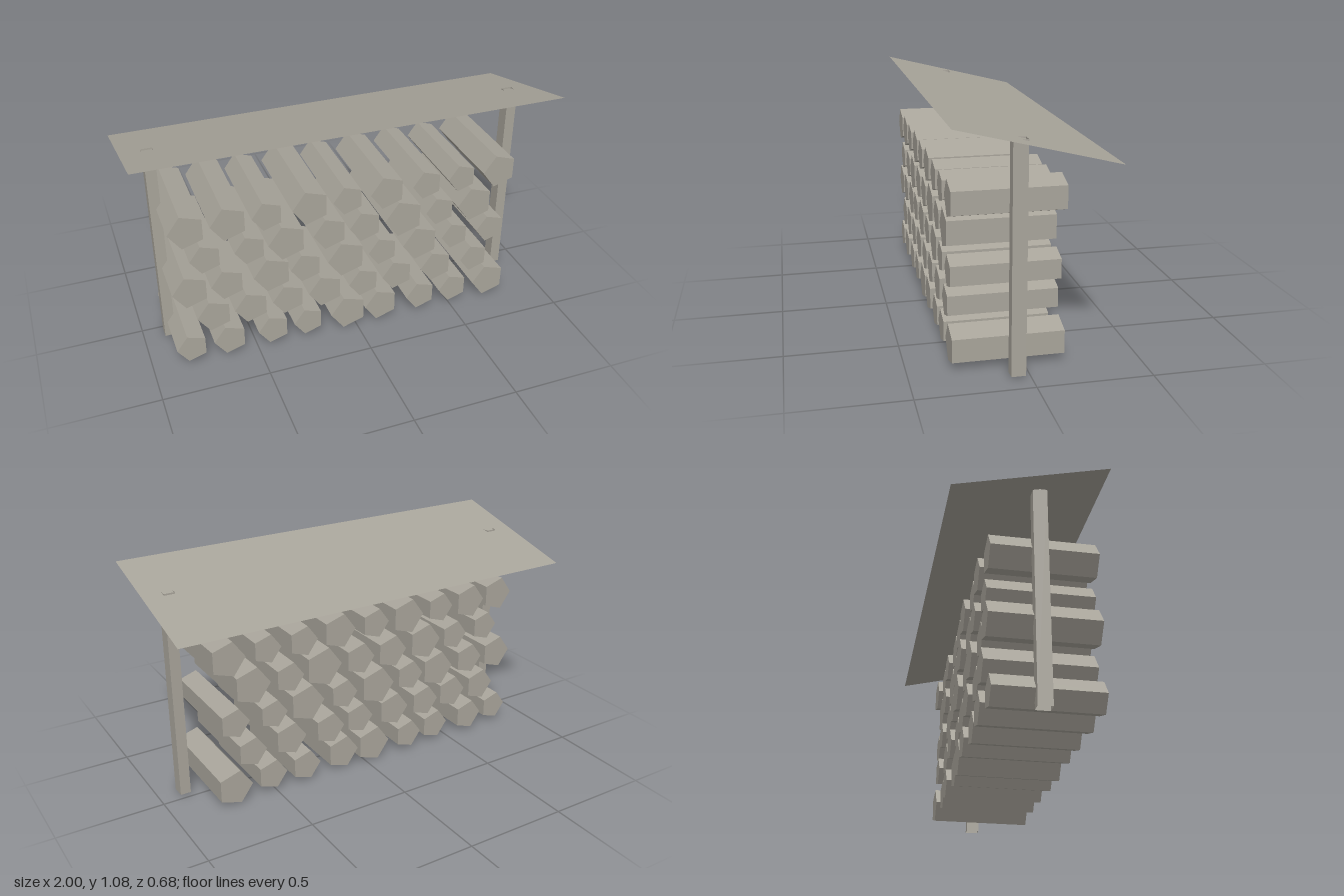
import * as THREE from 'three';

export function createModel() {
  const model = new THREE.Group();
  const wood = new THREE.MeshStandardMaterial({ color: 0xa8a49a, flatShading: true, side: THREE.DoubleSide });
  wood.name = 'weathered wood';

  const add = (parent, name, geometry, x, y, z) => {
    const mesh = new THREE.Mesh(geometry, wood);
    mesh.name = name;
    mesh.position.set(x, y, z);
    parent.add(mesh);
    return mesh;
  };

  // Thin sloping roof sheet, higher at the front
  const rise = 0.168, depth = 0.68;
  const roof = add(model, 'roof', new THREE.PlaneGeometry(2, Math.hypot(rise, depth)), 0, 0.991, 0);
  roof.rotation.x = -Math.PI / 2 + Math.atan2(rise, depth) * -1;

  // Square hollow posts whose tops just pierce the roof
  const postShape = new THREE.CylinderGeometry(Math.SQRT1_2, Math.SQRT1_2, 1, 4, 1, true);
  postShape.rotateY(Math.PI / 4).scale(0.05, 0.998, 0.063);
  add(model, 'rightPost', postShape, -0.877, 0.505, 0.053);
  add(model, 'leftPost', postShape, 0.882, 0.505, 0.053);

  // Rows of five-sided logs: height, then [left edge, width] of each log
  const rows = [
    [0.086, [[-0.885, 0.134], [-0.709, 0.144], [-0.495, 0.139], [-0.318, 0.134], [-0.131, 0.166],
      [0.045, 0.155], [0.265, 0.139], [0.441, 0.139], [0.628, 0.16]]],
    [0.246, [[-0.778, 0.15], [-0.602, 0.15], [-0.42, 0.144], [-0.243, 0.155], [-0.04, 0.139],
      [0.131, 0.144], [0.334, 0.15], [0.548, 0.134]]],
    [0.406, [[-0.88, 0.155], [-0.703, 0.144], [-0.505, 0.166], [-0.329, 0.139], [-0.147, 0.171],
      [0.056, 0.134], [0.233, 0.166], [0.436, 0.128], [0.623, 0.134]]],
    [0.567, [[-0.789, 0.134], [-0.586, 0.134], [-0.43, 0.166], [-0.217, 0.15], [-0.04, 0.144],
      [0.136, 0.176], [0.345, 0.134], [0.511, 0.166]]],
    [0.727, [[-0.874, 0.155], [-0.687, 0.155], [-0.5, 0.134], [-0.313, 0.16], [-0.12, 0.134],
      [0.061, 0.155], [0.27, 0.134], [0.452, 0.128], [0.634, 0.155]]],
  ];
  const stack = new THREE.Group();
  stack.name = 'logStack';
  model.add(stack);
  const front = 0.31;
  let count = 0;
  for (const [y, logs] of rows) {
    for (const [left, width] of logs) {
      // Front ends are flush, back ends vary a little
      const length = 0.465 + 0.023 * ((count++ * 0.618) % 1);
      const radius = width / (1 + Math.cos(Math.PI / 5));
      const log = new THREE.CylinderGeometry(radius, radius, length, 5);
      log.rotateX(Math.PI / 2).rotateZ(-Math.PI / 2);
      add(stack, 'log', log, left + radius, y, front - length / 2);
    }
  }
  return model;
}
